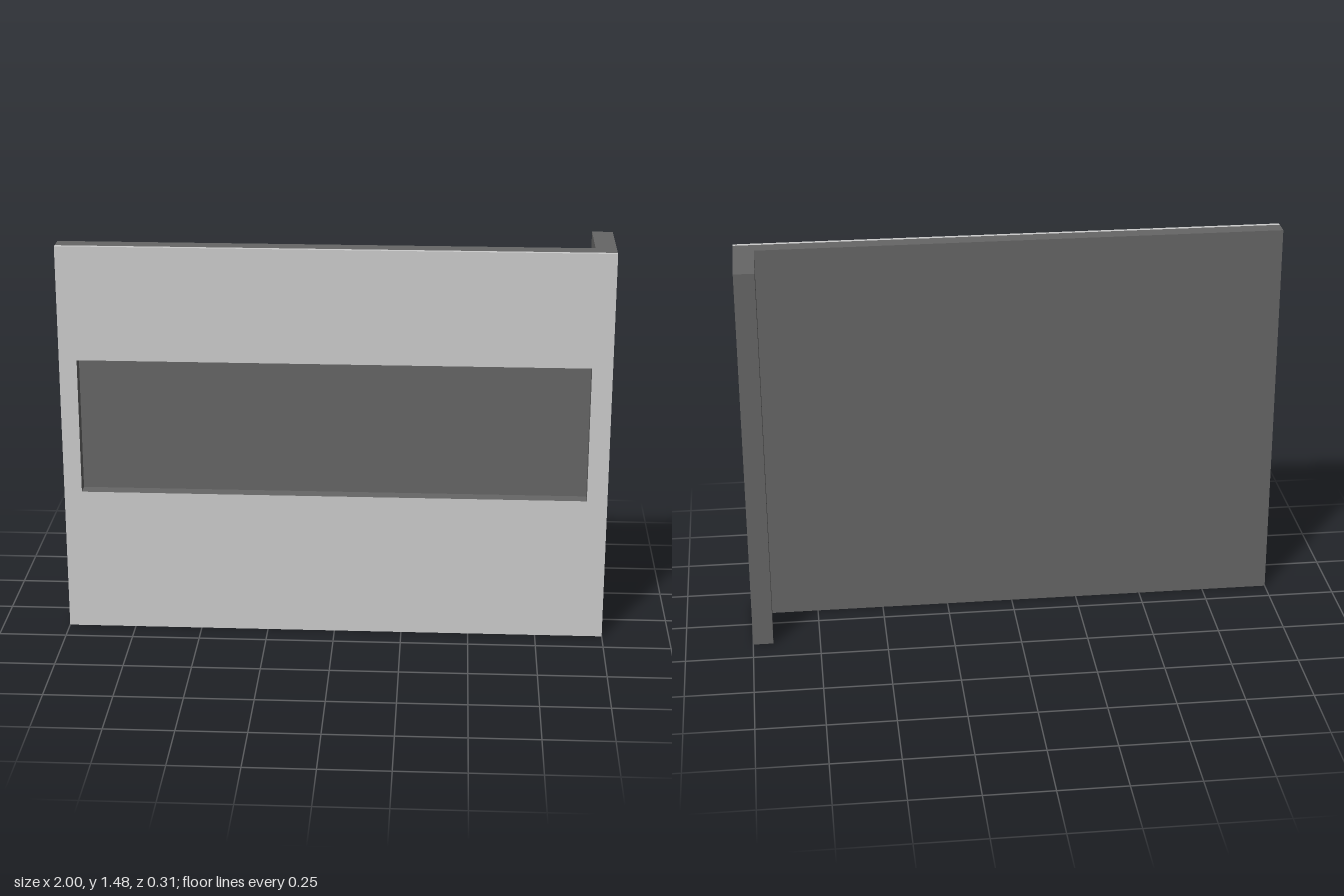
import * as THREE from 'three';

const W = 1, H = 1.475;             // half width, height
const FRONT = 0.155, SEAM = 0.14;   // front face and the back of its rim
const BACK = 0.08, WING = -0.155;   // back of the panel, back of the side wing
const INNER = 0.925;                // inner side of the wing
const hole = { x0: -0.935, x1: 0.925, y0: 0.54, y1: 1.05, z: 0.105 };

const light = new THREE.MeshStandardMaterial({ color: 0xcccccc, side: THREE.DoubleSide });
const dark = new THREE.MeshStandardMaterial({ color: 0x666666, side: THREE.DoubleSide });

// Flat quads joining two matching rows of points
function ribbon(a, b) {
  const pos = [];
  for (let i = 0; i < a.length - 1; i++) {
    pos.push(...a[i], ...a[i + 1], ...b[i + 1], ...a[i], ...b[i + 1], ...b[i]);
  }
  const g = new THREE.BufferGeometry();
  g.setAttribute('position', new THREE.Float32BufferAttribute(pos, 3));
  g.computeVertexNormals();
  return g;
}

const rect = (x0, y0, x1, y1) => [[x0, y0], [x1, y0], [x1, y1], [x0, y1]];
const toShape = (pts) => new THREE.Shape(pts.map(([x, y]) => new THREE.Vector2(x, y)));

export function createModel() {
  const group = new THREE.Group();
  const add = (name, geometry, material) => {
    const mesh = new THREE.Mesh(geometry, material);
    mesh.name = name;
    group.add(mesh);
    return mesh;
  };

  // Front face with the long window
  const face = toShape(rect(-W, 0, W, H));
  face.holes.push(toShape(rect(hole.x0, hole.y0, hole.x1, hole.y1).reverse()));
  add('frontFace', new THREE.ShapeGeometry(face), light).position.z = FRONT;

  // Thin rim round the sides and top of the front face
  const rim = [[W, 0], [W, H], [-W, H], [-W, 0]];
  const rimAt = (z) => rim.map(([x, y]) => [x, y, z]);
  add('frontRim', ribbon(rimAt(SEAM), rimAt(FRONT)), light);

  // Recess: four walls and a back
  const edge = rect(hole.x0, hole.y0, hole.x1, hole.y1);
  const edgeAt = (z) => [...edge, edge[0]].map(([x, y]) => [x, y, z]);
  add('recessWalls', ribbon(edgeAt(FRONT), edgeAt(hole.z)), dark);
  add('recessBack', new THREE.ShapeGeometry(toShape(edge)), dark).position.z = hole.z;

  // Hollow L-shaped body, open underneath
  const plan = [[W, SEAM], [W, WING], [INNER, WING], [INNER, BACK], [-W, BACK], [-W, SEAM]];
  const planAt = (y) => plan.map(([x, z]) => [x, y, z]);
  add('bodyWalls', ribbon(planAt(0), planAt(H)), dark);

  // Top of the body
  const top = new THREE.ShapeGeometry(toShape(plan.map(([x, z]) => [x, -z])));
  top.rotateX(-Math.PI / 2);
  add('bodyTop', top, dark).position.y = H;

  return group;
}
